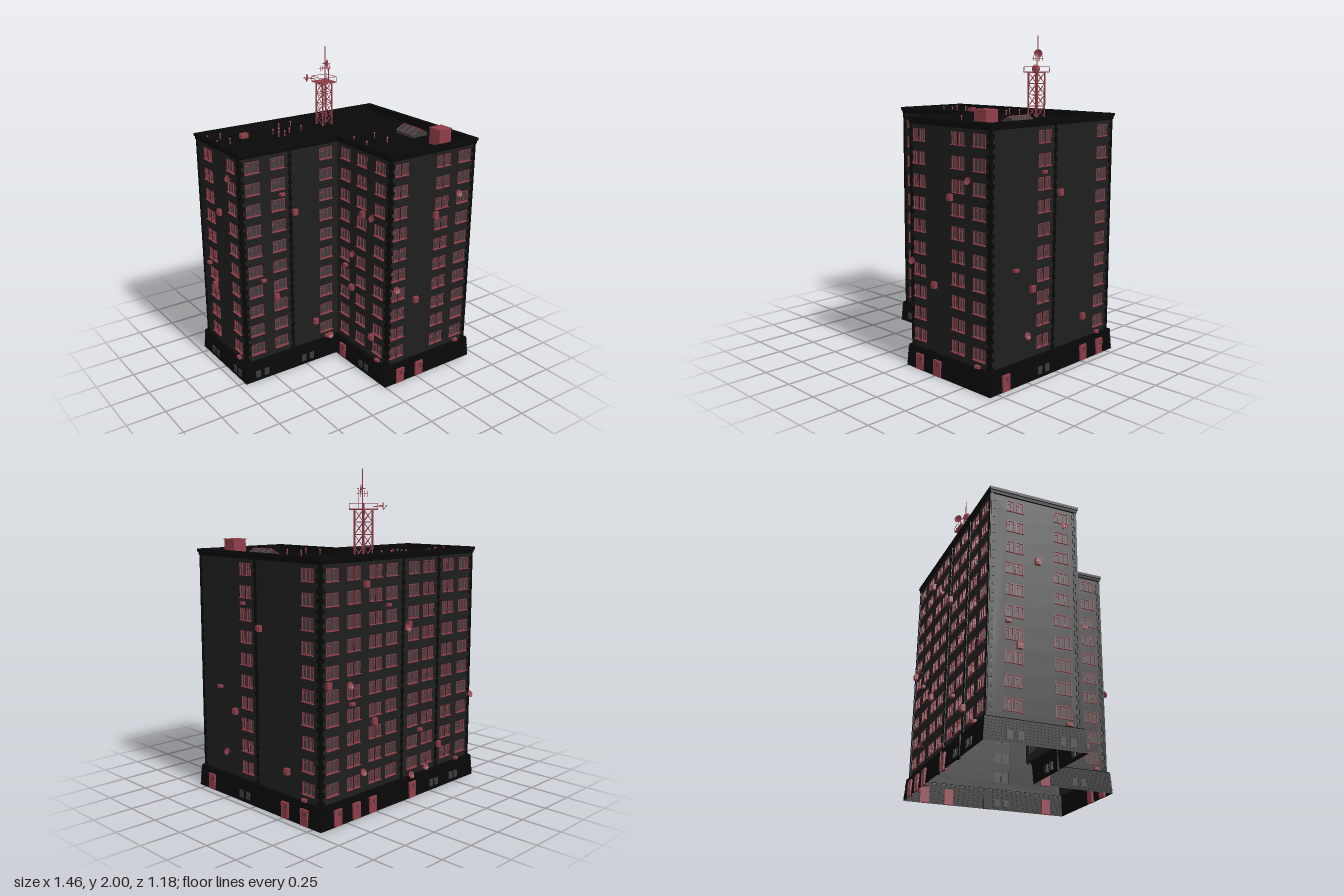
import * as THREE from 'three';
import { mergeGeometries } from 'three/addons/utils/BufferGeometryUtils.js';

const P = Math.PI;
const mat = (color, extra = {}) => new THREE.MeshStandardMaterial({ color, ...extra });
const WALL = mat(0x1e1e1e), DARK = mat(0x080808, { flatShading: true, side: THREE.DoubleSide });
const RED = mat(0x8f3d48), GLASS = mat(0x3c3c3c), DISH = mat(0x8f3d48, { side: THREE.DoubleSide });

const box = (w, h, d, x, y, z) => new THREE.BoxGeometry(w, h, d).translate(x, y, z);

// Round bar between two points
function rod(a, b, r = 0.003, sides = 6) {
  const p = new THREE.Vector3(...a), dir = new THREE.Vector3(...b).sub(p), len = dir.length();
  const q = new THREE.Quaternion().setFromUnitVectors(new THREE.Vector3(0, 1, 0), dir.normalize());
  return new THREE.CylinderGeometry(r, r, len, sides).translate(0, len / 2, 0)
    .applyQuaternion(q).translate(...a);
}

function add(parent, name, geos, material) {
  const list = [].concat(geos);
  if (!list.length) return null;
  const mesh = new THREE.Mesh(list.length > 1 ? mergeGeometries(list) : list[0], material);
  mesh.name = name;
  parent.add(mesh);
  return mesh;
}

// L-shaped plan: x, z and the outward direction of each corner
const PLAN = [[-0.68, -0.54, -1, -1], [0.68, -0.54, 1, -1], [0.68, 0.535, 1, 1],
  [0.02, 0.535, -1, 1], [0.02, 0, -1, 1], [-0.68, 0, -1, 1]];

// Sweeps a profile of [y, outward offset] round the plan
function ring(profile) {
  const pos = [];
  const at = (i, [y, o]) => { const [x, z, sx, sz] = PLAN[i % 6]; return [x + sx * o, y, z + sz * o]; };
  for (let k = 0; k + 1 < profile.length; k++) for (let i = 0; i < 6; i++) {
    const a = at(i, profile[k]), b = at(i + 1, profile[k]);
    const c = at(i + 1, profile[k + 1]), d = at(i, profile[k + 1]);
    pos.push(...a, ...d, ...c, ...a, ...c, ...b);
  }
  const g = new THREE.BufferGeometry();
  g.setAttribute('position', new THREE.Float32BufferAttribute(pos, 3));
  g.computeVertexNormals();
  return g;
}

const WIDE = 0.095, SLIM = 0.047, WIN_H = 0.074, FLOORS = 10;
const floorY = i => 0.215 + i * 0.1344;
const pair = x => [[x - 0.029, SLIM], [x + 0.029, SLIM]];
const wide = x => [[x, WIDE]];

// Window frame with mullions, transom and sill, set in the wall opening
function windowFrame(x, y, w) {
  const t = 0.004, z = -0.004, n = w > 0.06 ? 3 : 2, parts = [];
  for (const s of [-1, 1]) {
    parts.push(box(t, WIN_H, 0.01, x + s * (w - t) / 2, y, z));
    parts.push(box(w, t, 0.01, x, y + s * (WIN_H - t) / 2, z));
  }
  for (let i = 1; i < n; i++) parts.push(box(0.003, WIN_H, 0.006, x - w / 2 + w * i / n, y, z));
  parts.push(box(w / n, 0.0025, 0.006, x - w / 2 + w / n / 2, y + 0.015, z));
  parts.push(box(w + 0.006, 0.003, 0.014, x, y - WIN_H / 2, 0.003));
  return parts;
}

// Wall cooling unit: casing and a round grille
function cooler(x, y, h) {
  return [box(0.032, h, 0.022, x, y, 0.013),
    new THREE.CylinderGeometry(h * 0.35, h * 0.35, 0.003, 12).rotateX(P / 2).translate(x - 0.005, y, 0.025)];
}

// Shallow dish facing +z, with feed arm
function dishGeometry(r) {
  const pts = [0, 0.35, 0.7, 1].map(t => new THREE.Vector2(Math.max(r * t, 0.0001), r * 0.3 * t * t));
  return mergeGeometries([new THREE.LatheGeometry(pts, 18).rotateX(P / 2),
    rod([0, -r * 0.9, r * 0.2], [0, 0, r * 0.9], 0.0015), rod([0, 0, -0.02], [0, 0, 0]),
    box(0.006, 0.006, 0.008, 0, 0, r * 0.9)]);
}

// Each wall is built in its own frame: x along the wall, +z outward
function wall(parent, name, at, turn, [u0, u1], { windows, ends, joints = [], doors = [], cellar = [], coolers, dishes }) {
  const g = new THREE.Group();
  g.name = name;
  g.position.set(...at);
  g.rotation.y = turn;
  parent.add(g);
  const s = new THREE.Shape();
  s.moveTo(u0, 0.13).lineTo(u1, 0.13).lineTo(u1, 1.49).lineTo(u0, 1.49).closePath();
  const frames = [], panes = [];
  for (const [x, w] of windows) for (let i = 0; i < FLOORS; i++) {
    const y = floorY(i), a = x - w / 2, b = x + w / 2, c = y - WIN_H / 2, d = y + WIN_H / 2;
    s.holes.push(new THREE.Path().moveTo(a, c).lineTo(a, d).lineTo(b, d).lineTo(b, c).closePath());
    frames.push(...windowFrame(x, y, w));
    panes.push(box(w, WIN_H, 0.003, x, y, -0.008));
  }
  add(g, 'wallPanel', new THREE.ExtrudeGeometry(s, { depth: 0.012, bevelEnabled: false }).translate(0, 0, -0.012), WALL);
  add(g, 'windowFrames', frames, RED);
  add(g, 'windowPanes', panes, GLASS);

  // Toothed joints between wall sections and at the ends
  const teeth = [];
  for (const x of [...ends, ...joints]) for (let i = 0; i < 50; i++) {
    const w = i % 2 ? 0.012 : 0.026;
    const shift = x === u0 ? w / 2 : x === u1 ? -w / 2 : 0;
    teeth.push(box(w, 0.0272, 0.006, x + shift, 0.146 + i * 0.0272, 0.002));
  }
  add(g, 'toothedJoints', teeth, DARK);
  add(g, 'plinthPilasters', joints.map(x => box(0.04, 0.13, 0.012, x, 0.065, 0.02)), DARK);

  // Doors and cellar windows in the plinth
  const leaves = [], lights = [];
  for (const x of doors) {
    leaves.push(box(0.06, 0.1, 0.02, x, 0.051, 0.019));
    for (const sx of [-1, 1]) leaves.push(box(0.006, 0.1, 0.006, x + sx * 0.027, 0.051, 0.029));
    leaves.push(box(0.06, 0.006, 0.006, x, 0.098, 0.029), box(0.005, 0.005, 0.008, x + 0.018, 0.048, 0.031));
    lights.push(box(0.014, 0.02, 0.003, x + 0.006, 0.073, 0.029));
  }
  add(g, 'doors', leaves, RED);
  add(g, 'doorLights', lights, GLASS);
  add(g, 'cellarWindows', cellar.map(x => box(0.034, 0.046, 0.014, x, 0.046, 0.02)), GLASS);

  // Cooling units spread evenly between the storeys
  const units = [];
  for (let i = 0; i < coolers; i++) {
    const x = u0 + 0.04 + ((i * 0.618 + 0.3) % 1) * (u1 - u0 - 0.08);
    units.push(...cooler(x, floorY((i * 7 + 3) % FLOORS) - 0.067, i % 2 ? 0.017 : 0.038));
  }
  add(g, 'coolingUnits', units, RED);
  for (const [x, y] of dishes) {
    const d = add(g, 'satelliteDish', dishGeometry(0.023), DISH);
    d.position.set(x, y, 0.028);
    d.rotation.x = -0.4;
  }
}

// Lattice mast on the roof
function tower(parent) {
  const g = new THREE.Group();
  g.name = 'antennaTower';
  g.position.set(0.188, 0, -0.392);
  parent.add(g);
  const h = 0.037, y0 = 1.48, y1 = 1.77, n = 4, parts = [];
  for (let k = 0; k < 4; k++) {
    const side = [box(0.008, y1 - y0, 0.008, h, (y0 + y1) / 2, h)];
    for (let i = 0; i < n; i++) {
      const a = y0 + (y1 - y0) * i / n, b = y0 + (y1 - y0) * (i + 1) / n;
      side.push(rod([-h, a, h], [h, b, h], 0.002), rod([h, a, h], [-h, b, h], 0.002), rod([-h, b, h], [h, b, h], 0.002));
    }
    // Platform railing
    side.push(rod([-0.058, 1.805, 0.058], [0.058, 1.805, 0.058], 0.0018));
    side.push(rod([0.058, y1, 0.058], [0.058, 1.805, 0.058], 0.0018));
    parts.push(...side.map(s => s.rotateY(k * P / 2)));
  }
  parts.push(box(0.118, 0.006, 0.118, 0, y1, 0));
  parts.push(rod([0.008, y1, 0], [0.008, 2, 0]), rod([0.018, y1, 0.026], [0.018, 1.86, 0.026], 0.002));
  // Crossed aerial arms and dish arm
  parts.push(rod([-0.042, 1.858, 0], [0.056, 1.858, 0], 0.0018), rod([0.008, 1.858, -0.03], [0.008, 1.858, 0.03], 0.0018));
  for (const x of [-0.03, -0.01, 0.026, 0.046]) parts.push(rod([x, 1.84, 0], [x, 1.876, 0], 0.0015));
  parts.push(rod([-0.04, 1.785, -0.04], [-0.075, 1.79, -0.078]));
  add(g, 'towerFrame', parts, RED);
  for (const [x, y, z, turn] of [[-0.075, 1.79, -0.078, -2.4], [0.012, 1.888, 0.002, 0.7]]) {
    const d = add(g, 'towerDish', dishGeometry(0.027), DISH);
    d.position.set(x, y, z);
    d.rotation.y = turn;
  }
}

export function createModel() {
  const model = new THREE.Group();
  model.name = 'apartmentBlock';

  wall(model, 'frontWingEnd', [0, 0, 0.535], 0, [0.02, 0.68], { ends: [0.02, 0.68], coolers: 3,
    windows: [...pair(0.097), ...pair(0.426), ...wide(0.595)], doors: [0.115, 0.27], dishes: [[0.535, 1.2], [0.06, 0.67]] });
  wall(model, 'backWingFront', [0, 0, 0], 0, [-0.68, 0.02], { ends: [-0.68], joints: [-0.335], coolers: 6,
    windows: [-0.595, -0.42, -0.07].flatMap(wide), cellar: [-0.615, -0.552, -0.265, -0.205], dishes: [[-0.06, 0.155]] });
  wall(model, 'leftLongWall', [0.68, 0, 0], P / 2, [-0.535, 0.54], { ends: [-0.535, 0.54], joints: [0], coolers: 6,
    windows: [...pair(-0.093), ...wide(0.44)], doors: [-0.43, 0.267, 0.43], cellar: [-0.137, -0.072], dishes: [[-0.26, 0.287]] });
  wall(model, 'rightEndWall', [-0.68, 0, 0], -P / 2, [-0.54, 0], { ends: [-0.54, 0], coolers: 4,
    windows: [...pair(-0.39), ...wide(-0.1)], cellar: [-0.42, -0.36, -0.12, -0.06], dishes: [[-0.09, 1.355]] });
  wall(model, 'innerWingWall', [0.02, 0, 0], -P / 2, [0, 0.535], { ends: [0.535], coolers: 5,
    windows: [0.09, 0.26, 0.44].flatMap(wide), doors: [0.1], cellar: [0.3, 0.36], dishes: [[0.21, 0.8], [0.4, 1.1]] });
  wall(model, 'backWall', [0, 0, -0.54], P, [-0.68, 0.68], { ends: [-0.68, 0.68], joints: [0, 0.335], coolers: 9,
    windows: [...[-0.59, -0.1, 0.1, 0.59].flatMap(wide), ...[-0.42, -0.24, 0.24, 0.43].flatMap(pair)],
    doors: [-0.57, -0.42, -0.28, 0.08], cellar: [0.27, 0.32, 0.47, 0.52],
    dishes: [[-0.48, 0.8], [0.01, 1.07], [-0.37, 0.27], [0.06, 0.15], [0.2, 0.17], [0.65, 0.56]] });

  // Ribbed, slightly flared plinth
  const plinth = [];
  for (let i = 0; i < 8; i++) {
    const y = i * 0.0165, o = 0.025 - i * 0.001;
    plinth.push([y, o], [y + 0.0125, o], [y + 0.0125, o - 0.003], [y + 0.0165, o - 0.003]);
  }
  plinth.push([0.135, 0.016], [0.137, 0]);
  add(model, 'plinth', ring(plinth), DARK);

  // Cornice, parapet and roof deck
  add(model, 'parapet', ring([[1.484, 0], [1.488, 0.006], [1.505, 0.008], [1.507, 0.012], [1.525, 0.012],
    [1.525, -0.02], [1.48, -0.02]]), DARK);
  const deck = new THREE.Shape(PLAN.map(([x, z]) => new THREE.Vector2(x, -z)));
  add(model, 'roofDeck', new THREE.ShapeGeometry(deck).rotateX(-P / 2).translate(0, 1.482, 0), DARK);

  // Roof vents in groups of four: centre and half spacing
  const vents = [];
  for (const [cx, cz, hx, hz] of [[-0.595, -0.405, 0.045, 0.065], [-0.075, -0.405, 0.045, 0.065],
    [-0.202, -0.335, 0.022, 0.035], [0.18, 0.13, 0.08, 0.065]])
    for (const sx of [-1, 1]) for (const sz of [-1, 1]) {
      const x = cx + sx * hx, z = cz + sz * hz;
      vents.push(rod([x, 1.48, z], [x, 1.515, z], 0.004, 8), new THREE.ConeGeometry(0.008, 0.008, 8).translate(x, 1.518, z));
    }
  add(model, 'roofVents', vents, RED);

  // Stair hut and roof cooling unit
  add(model, 'stairHut', [box(0.094, 0.1, 0.094, 0.51, 1.53, 0.4), box(0.1, 0.006, 0.1, 0.51, 1.582, 0.4)], RED);
  add(model, 'roofCooler', [box(0.052, 0.03, 0.032, -0.42, 1.499, -0.402),
    new THREE.CylinderGeometry(0.011, 0.011, 0.004, 12).translate(-0.41, 1.515, -0.402)], RED);

  // Gabled skylight
  const gable = new THREE.Shape().moveTo(-0.06, 0).lineTo(0.06, 0).lineTo(0.06, 0.02).lineTo(0, 0.052).lineTo(-0.06, 0.02);
  add(model, 'skylightGlass', new THREE.ExtrudeGeometry(gable, { depth: 0.16, bevelEnabled: false })
    .translate(0.51, 1.482, 0.05), GLASS);
  const bars = [rod([0.51, 1.534, 0.05], [0.51, 1.534, 0.21])];
  for (const s of [-1, 1]) {
    const x = 0.51 + s * 0.06;
    bars.push(rod([x, 1.502, 0.05], [x, 1.502, 0.21], 0.0025));
    for (const z of [0.05, 0.103, 0.157, 0.21]) bars.push(rod([0.51, 1.534, z], [x, 1.502, z], 0.0025));
  }
  add(model, 'skylightBars', bars, RED);

  tower(model);
  return model;
}
